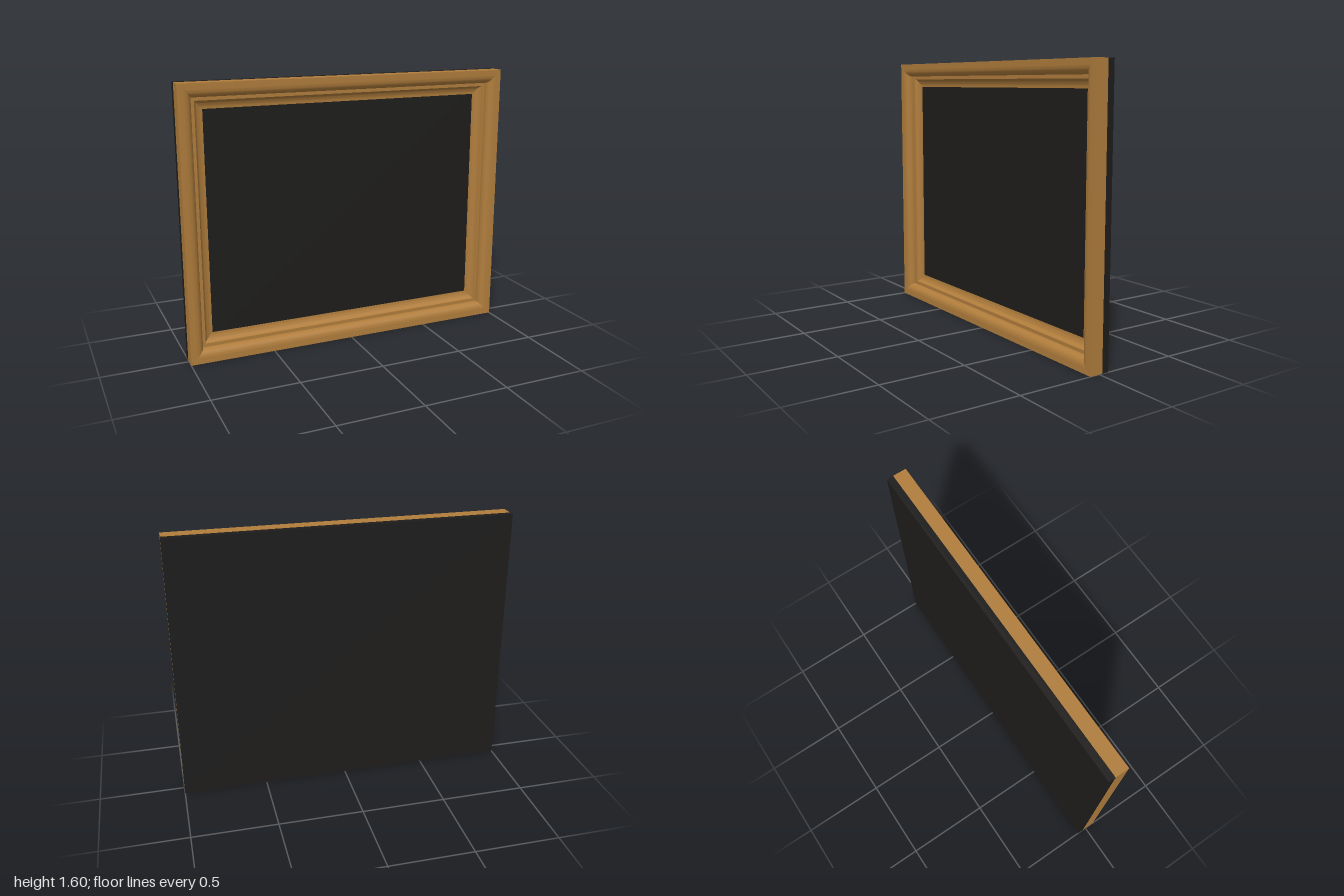
import * as THREE from 'three';
import { mergeGeometries, toCreasedNormals } from 'three/addons/utils/BufferGeometryUtils.js';

const W = 2, H = 1.6;
const BACK = -0.06, SEAT = -0.02, FRONT = 0.06;

// Moulding cross-section as [inset from outer edge, z], from outer back to inner back
function mouldingProfile() {
  const steps = 10;
  const pts = [[0, SEAT], [0, FRONT]];
  for (let i = 0; i <= steps; i++) { // rounded outer bead
    const a = (i / steps) * Math.PI / 2;
    pts.push([0.035 + 0.045 * Math.sin(a), 0.02 + 0.04 * Math.cos(a)]);
  }
  pts.push([0.08, 0.013]); // narrow flat step
  for (let i = 0; i <= steps; i++) { // hollow inner cove
    const a = (i / steps) * Math.PI / 2;
    pts.push([0.15 - 0.05 * Math.cos(a), 0.013 - (0.013 - SEAT) * Math.sin(a)]);
  }
  return pts;
}

// One mitred rail running between two neighbouring corners
function railGeometry(profile, from, to) {
  const point = ([sx, sy], [inset, z]) =>
    [sx * (W / 2 - inset), H / 2 + sy * (H / 2 - inset), z];
  const positions = [];
  for (let i = 0; i < profile.length - 1; i++) {
    const a = point(from, profile[i]), b = point(to, profile[i]);
    const c = point(to, profile[i + 1]), d = point(from, profile[i + 1]);
    positions.push(...a, ...b, ...c, ...a, ...c, ...d);
  }
  const geometry = new THREE.BufferGeometry();
  geometry.setAttribute('position', new THREE.Float32BufferAttribute(positions, 3));
  return toCreasedNormals(geometry, Math.PI / 6);
}

export function createModel() {
  const group = new THREE.Group();
  group.name = 'pictureFrame';
  const wood = new THREE.MeshStandardMaterial({ color: 0xb07d3c });
  const black = new THREE.MeshStandardMaterial({ color: 0x1e1d1c });

  // Four moulded rails, mitred at the corners
  const profile = mouldingProfile();
  const corners = [[-1, -1], [1, -1], [1, 1], [-1, 1]];
  const rails = corners.map((c, i) => railGeometry(profile, c, corners[(i + 1) % 4]));
  const moulding = new THREE.Mesh(mergeGeometries(rails), wood);
  moulding.name = 'moulding';
  group.add(moulding);

  // Backing board, its front face showing through the opening
  const board = new THREE.Mesh(new THREE.BoxGeometry(W, H, SEAT - BACK), black);
  board.name = 'backingBoard';
  board.position.set(0, H / 2, (SEAT + BACK) / 2);
  group.add(board);

  return group;
}
